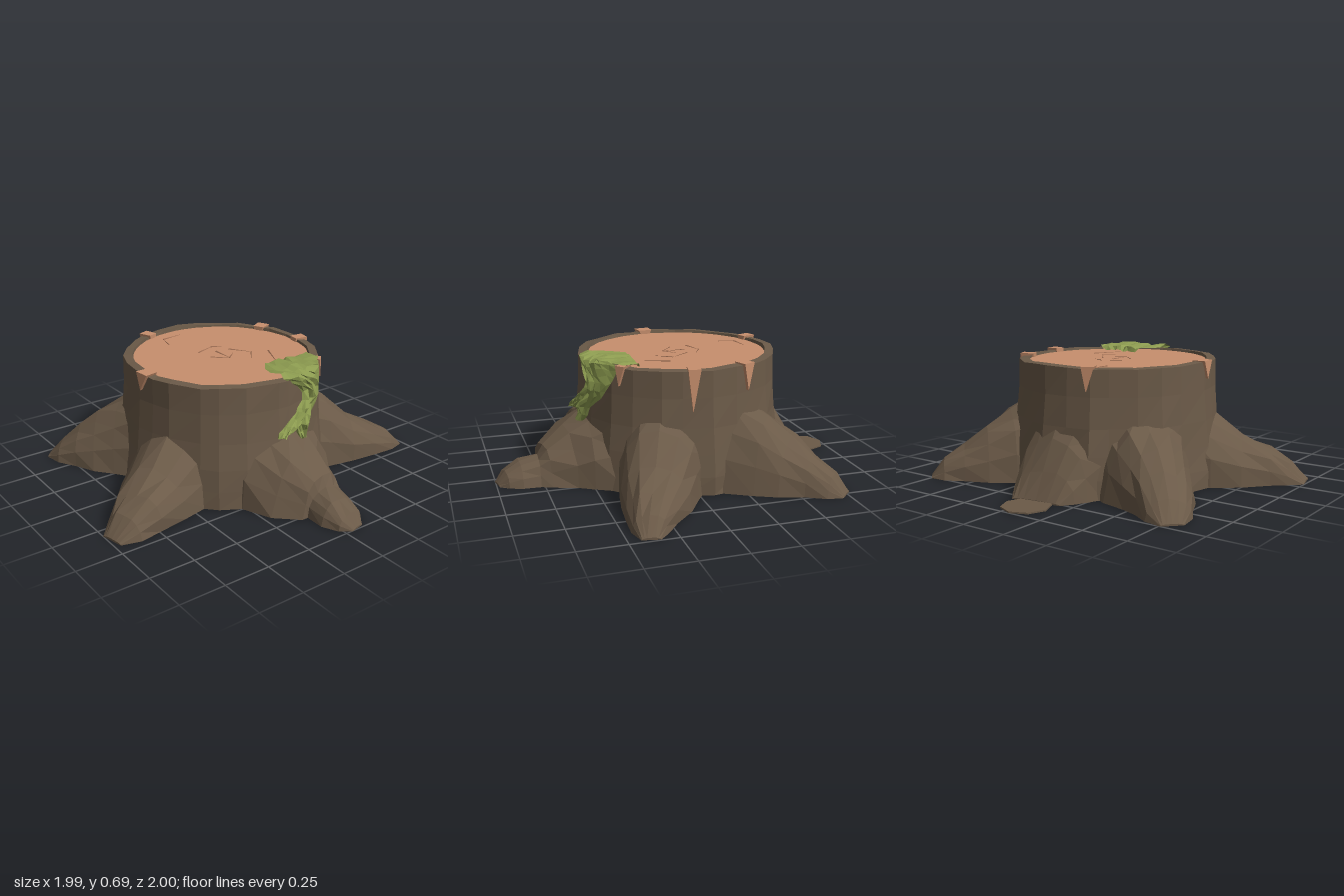
import * as THREE from 'three';
import { ConvexGeometry } from 'three/addons/geometries/ConvexGeometry.js';

const makeMaterial = (name, color, side = THREE.FrontSide) =>
  Object.assign(new THREE.MeshStandardMaterial({ color, side, flatShading: true }), { name });

// Repeatable noise in -1..1
function noise(a, b = 0, c = 0) {
  const s = Math.sin(a * 127.1 + b * 311.7 + c * 74.7) * 43758.5453;
  return 2 * (s - Math.floor(s)) - 1;
}

// Skin a list of cross-sections, each an array of Vector3
function loft(rings, closed) {
  const pos = [];
  const n = rings[0].length;
  for (let i = 0; i < rings.length - 1; i++) {
    for (let j = 0; j < (closed ? n : n - 1); j++) {
      const k = (j + 1) % n;
      const a = rings[i][j], b = rings[i][k], c = rings[i + 1][k], d = rings[i + 1][j];
      for (const p of [a, b, c, a, c, d]) pos.push(p.x, p.y, p.z);
    }
  }
  const g = new THREE.BufferGeometry();
  g.setAttribute('position', new THREE.Float32BufferAttribute(pos, 3));
  g.computeVertexNormals();
  return g;
}

const CX = -0.02, CZ = -0.05;
const onTrunk = (t, r, y) =>
  new THREE.Vector3(CX + Math.cos(t) * r, y, CZ + Math.sin(t) * r * 1.025);

// Trunk: inner lip, rim, bark wall and underside; [radius, height, roughness]
function trunkGeometry() {
  const profile = [[0.485, 0.635, 0], [0.492, 0.668, 0.006], [0.538, 0.664, 0.006], [0.542, 0.52, 0.008],
    [0.552, 0.36, 0.014], [0.568, 0.22, 0.02], [0.58, 0.1, 0.022], [0.585, 0, 0.02], [0.001, 0, 0]];
  const sides = 26;
  return loft(profile.map(([r, y, rough], i) => Array.from({ length: sides }, (_, j) => {
    const t = (j + 0.3 * noise(j, 4)) / sides * Math.PI * 2;
    const wobble = rough * (0.7 * noise(j, 1) + 0.3 * noise(j, i, 2));
    const lift = i === 1 || i === 2 ? 0.006 * noise(j, 9) : 0;
    return onTrunk(t, r + wobble, y + lift);
  })), true);
}

// Root: domed sections along a ground path; [x, z, half width, height]
function rootGeometry(path, seed) {
  const steps = 8;
  const rings = path.map(([x, z, w, h], i) => {
    const p = path[Math.max(i - 1, 0)], q = path[Math.min(i + 1, path.length - 1)];
    const d = new THREE.Vector2(q[0] - p[0], q[1] - p[1]).normalize();
    return Array.from({ length: steps + 1 }, (_, j) => {
      const t = j / steps * Math.PI;
      const k = 1 + 0.07 * noise(i, j, seed);
      const off = Math.sign(Math.cos(t)) * Math.abs(Math.cos(t)) ** 0.85 * w * k;
      const y = j % steps === 0 ? 0 : Math.sin(t) ** 0.9 * h * k;
      return new THREE.Vector3(x + d.y * off, y, z - d.x * off);
    });
  });
  const [ex, ez] = path[path.length - 1];
  rings.push(rings[0].map(() => new THREE.Vector3(ex, 0, ez)));
  return loft(rings, true);
}

// Moss sheet that lies on the rim and follows the bark; rows of [x0, x1, height, z limit]
function mossGeometry(rows, seed) {
  const cols = 10;
  return loft(rows.map(([x0, x1, y, zMax = 9], i) => Array.from({ length: cols + 1 }, (_, j) => {
    const u = j / cols;
    const x = x0 + (x1 - x0) * u + 0.008 * noise(i, j, seed);
    const r = 0.55 + (0.66 - y) * 0.1;
    const edge = Math.min(1, Math.min(u, 1 - u) * 4);
    const puff = edge * (0.028 + 0.016 * noise(i, j, seed + 1));
    const wall = CZ + Math.sqrt(r * r - (x - CX) ** 2) + puff;
    const top = zMax < 9;
    return new THREE.Vector3(x, y + (top ? 0.01 * noise(j, i, seed + 2) : 0.008 * noise(j, i, seed + 3)),
      top ? Math.min(zMax + 0.012 * noise(i, j, seed + 4), wall) : wall);
  })), false);
}

export function createModel() {
  const bark = makeMaterial('bark', 0x6b5a48);
  const wood = makeMaterial('wood', 0xc78f6d);
  const grain = makeMaterial('wood grain', 0x93664d);
  const moss = makeMaterial('moss', 0x8d9c50, THREE.DoubleSide);

  const group = new THREE.Group();
  group.name = 'treeStump';
  const add = (name, geometry, material, x = 0, y = 0, z = 0) => {
    const mesh = new THREE.Mesh(geometry, material);
    mesh.name = name;
    mesh.position.set(x, y, z);
    group.add(mesh);
    return mesh;
  };

  add('trunk', trunkGeometry(), bark);

  // Cut face
  add('cutFace', new THREE.CylinderGeometry(0.5, 0.5, 0.02, 26), wood, -0.01, 0.643, CZ);

  // Spreading roots
  const roots = {
    frontLeftRoot: [[0.36, 0.14, 0.26, 0.46], [0.52, 0.21, 0.22, 0.35], [0.66, 0.27, 0.18, 0.23],
      [0.8, 0.33, 0.13, 0.16], [0.91, 0.375, 0.09, 0.09], [0.985, 0.39, 0.045, 0.012]],
    frontRoot: [[0.03, 0.3, 0.36, 0.5], [0.02, 0.5, 0.29, 0.37], [0.03, 0.62, 0.23, 0.28],
      [0.06, 0.74, 0.15, 0.19], [0.06, 0.77, 0.125, 0.145], [0.06, 0.87, 0.12, 0.12],
      [0.07, 0.95, 0.09, 0.07], [0.08, 0.995, 0.04, 0.01]],
    frontRightRoot: [[-0.36, 0.1, 0.28, 0.46], [-0.52, 0.17, 0.24, 0.35], [-0.66, 0.24, 0.2, 0.25],
      [-0.8, 0.31, 0.15, 0.18], [-0.9, 0.35, 0.115, 0.11], [-0.985, 0.37, 0.065, 0.012]],
    backRightRoot: [[-0.35, -0.3, 0.28, 0.46], [-0.48, -0.42, 0.23, 0.36], [-0.58, -0.5, 0.19, 0.28],
      [-0.66, -0.57, 0.15, 0.2], [-0.74, -0.65, 0.115, 0.1], [-0.8, -0.71, 0.06, 0.01]],
    backLeftRoot: [[0.35, -0.28, 0.27, 0.46], [0.46, -0.42, 0.23, 0.36], [0.55, -0.52, 0.19, 0.27],
      [0.64, -0.61, 0.14, 0.18], [0.72, -0.69, 0.1, 0.1], [0.77, -0.74, 0.05, 0.01]],
    backRootStub: [[-0.03, -0.4, 0.31, 0.46], [-0.03, -0.56, 0.27, 0.42], [-0.03, -0.64, 0.23, 0.29],
      [-0.03, -0.72, 0.19, 0.15], [-0.04, -0.79, 0.15, 0.01]],
  };
  Object.entries(roots).forEach(([name, path], i) => add(name, rootGeometry(path, i + 3), bark));

  // Flat remains of the broken back root
  add('rootBase', new THREE.CylinderGeometry(0.128, 0.128, 0.008, 8), bark, -0.05, 0.004, -0.873);

  // Chips in the rim showing bare wood; [angle, half angle, lowest point]
  [[0.13, 0.06, 0.45], [-0.45, 0.065, 0.53], [0.84, 0.05, 0.57], [3.05, 0.08, 0.58], [-1.92, 0.06, 0.55]]
    .forEach(([t, half, low]) => {
      const points = [0.478, 0.553].flatMap((r) => [
        onTrunk(t - half, r, 0.676), onTrunk(t + half, r, 0.676), onTrunk(t + half * 0.2, r + 0.002, low)]);
      add('rimChip', new ConvexGeometry(points), wood);
    });

  // Grain cracks as thin slivers; [x, z, x, z]
  [[-0.1, -0.04, -0.02, 0.03], [-0.02, 0.03, 0.05, -0.03], [-0.02, -0.1, -0.015, 0.02],
    [-0.11, -0.14, 0.0, -0.18], [0.0, -0.18, 0.07, -0.14], [0.06, -0.09, 0.14, 0.02],
    [0.14, 0.02, 0.08, 0.1], [0.23, 0.06, 0.15, 0.24], [-0.17, -0.36, -0.15, -0.45], [-0.15, -0.45, -0.02, -0.47]]
    .forEach(([x0, z0, x1, z1]) => {
      const length = Math.hypot(x1 - x0, z1 - z0);
      const sliver = new THREE.CylinderGeometry(0.001, 0.005, length, 3);
      sliver.rotateZ(-Math.PI / 2);
      const mesh = add('grainCrack', sliver, grain, (x0 + x1) / 2, 0.653, (z0 + z1) / 2);
      mesh.rotation.y = -Math.atan2(z1 - z0, x1 - x0);
    });

  // Moss over the rim and its hanging side strand
  add('mossPatch', mossGeometry([[0.08, 0.32, 0.655, 0.25], [0.05, 0.34, 0.68, 0.27], [0.0, 0.34, 0.682, 0.34],
    [-0.02, 0.33, 0.684, 0.4], [-0.01, 0.31, 0.684, 0.46], [-0.01, 0.33, 0.672], [0.03, 0.33, 0.645],
    [0.08, 0.31, 0.61], [0.11, 0.3, 0.57], [0.11, 0.28, 0.53], [0.08, 0.25, 0.49], [0.05, 0.21, 0.45],
    [0.05, 0.17, 0.41], [0.06, 0.15, 0.37], [0.08, 0.11, 0.33]], 1), moss);
  add('mossStrand', mossGeometry([[0.07, 0.15, 0.475], [0.02, 0.13, 0.445], [-0.03, 0.1, 0.415],
    [-0.06, 0.05, 0.39], [-0.075, -0.03, 0.368]], 7), moss);

  return group;
}
